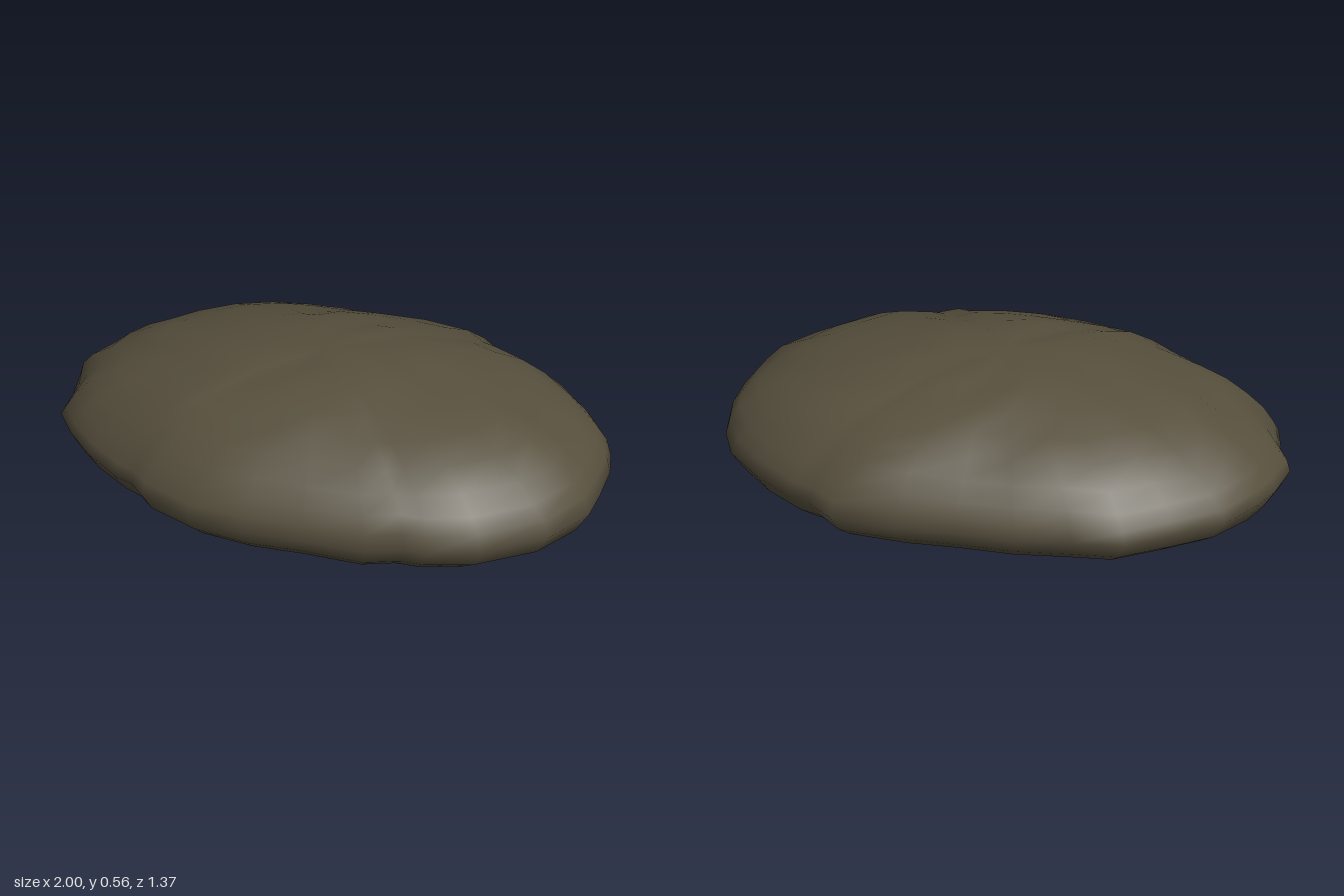
import * as THREE from 'three';
import { mergeVertices } from 'three/addons/utils/BufferGeometryUtils.js';

// Plan outline at the widest level, as x, z pairs from +x round through +z
const OUTLINE = [
  [1, 0], [1, 0.12], [0.92, 0.3], [0.75, 0.47], [0.6, 0.545], [0.52, 0.56], [0.41, 0.62],
  [0.2, 0.645], [0, 0.68], [-0.2, 0.68], [-0.4, 0.625], [-0.47, 0.575], [-0.55, 0.55], [-0.7, 0.47],
  [-0.82, 0.38], [-0.92, 0.28], [-0.95, 0.14], [-1, 0], [-0.97, -0.13], [-0.93, -0.23],
  [-0.84, -0.37], [-0.7, -0.48], [-0.55, -0.59], [-0.38, -0.62], [-0.2, -0.655], [0, -0.665], [0.2, -0.685],
  [0.42, -0.68], [0.52, -0.61], [0.6, -0.59], [0.75, -0.5], [0.89, -0.38], [0.96, -0.26], [0.99, -0.15],
];

// Rings from the underside to the crown: outline scale, height
const RINGS = [
  [0, 0.033], [0.25, 0.035], [0.49, 0.044], [0.66, 0.06], [0.8, 0.08], [0.9, 0.108],
  [0.955, 0.145], [1, 0.205], [0.98, 0.255], [0.94, 0.305], [0.87, 0.36], [0.77, 0.412],
  [0.65, 0.457], [0.51, 0.494], [0.36, 0.525], [0.18, 0.545], [0, 0.55],
];

// Smooth, uneven stone relief
const relief = (x, y, z) =>
  (Math.sin(13 * x + 8 * z + 9 * y) + Math.sin(19 * z - 11 * x + 2) + Math.sin(23 * x + 21 * z - 6 * y)) / 3;

// Local swelling centred on cx, cz
const swell = (x, z, cx, cz, rx, rz) => Math.exp(-(((x - cx) / rx) ** 2) - ((z - cz) / rz) ** 2);

function createStoneGeometry() {
  const positions = [];
  const index = [];
  const n = OUTLINE.length;
  RINGS.forEach(([scale, height], i) => {
    const upper = height > 0.21;
    OUTLINE.forEach(([ox, oz], j) => {
      const bump = relief(ox * scale, height, oz * scale);
      // the widest ring keeps the outline, the others ripple in and out
      const s = scale * (1 + (scale < 1 ? 0.01 * bump : 0));
      const x = ox * s;
      const z = oz * s;
      let y = height + bump * (upper ? 0.012 : 0.004);
      if (upper) {
        // higher towards +x, with a knob on the front left of the crown
        y += 0.012 * x + 0.025 * swell(x, z, -0.3, 0.33, 0.13, 0.08);
      } else {
        // small foot under the back half, and lower undersides at both ends
        y -= 0.045 * swell(x, z, 0, -0.33, 0.12, 0.08);
        if (scale < 1) y -= 0.025 * Math.abs(x) ** 3;
      }
      positions.push(x, Math.max(0, y), z);
      if (i < RINGS.length - 1) {
        const k = (j + 1) % n;
        const a = i * n + j, b = (i + 1) * n + j, c = i * n + k, d = (i + 1) * n + k;
        if (scale > 0) index.push(a, b, c);
        if (RINGS[i + 1][0] > 0) index.push(c, b, d);
      }
    });
  });
  let geometry = new THREE.BufferGeometry();
  geometry.setAttribute('position', new THREE.Float32BufferAttribute(positions, 3));
  geometry.setIndex(index);
  geometry = mergeVertices(geometry, 1e-5);
  geometry.computeVertexNormals();
  return geometry;
}

export function createModel() {
  const stone = new THREE.MeshStandardMaterial({ color: 0x564f3d });
  stone.name = 'brown grey stone';
  const boulder = new THREE.Mesh(createStoneGeometry(), stone);
  boulder.name = 'boulder';
  const group = new THREE.Group();
  group.name = 'rock';
  group.add(boulder);
  return group;
}
